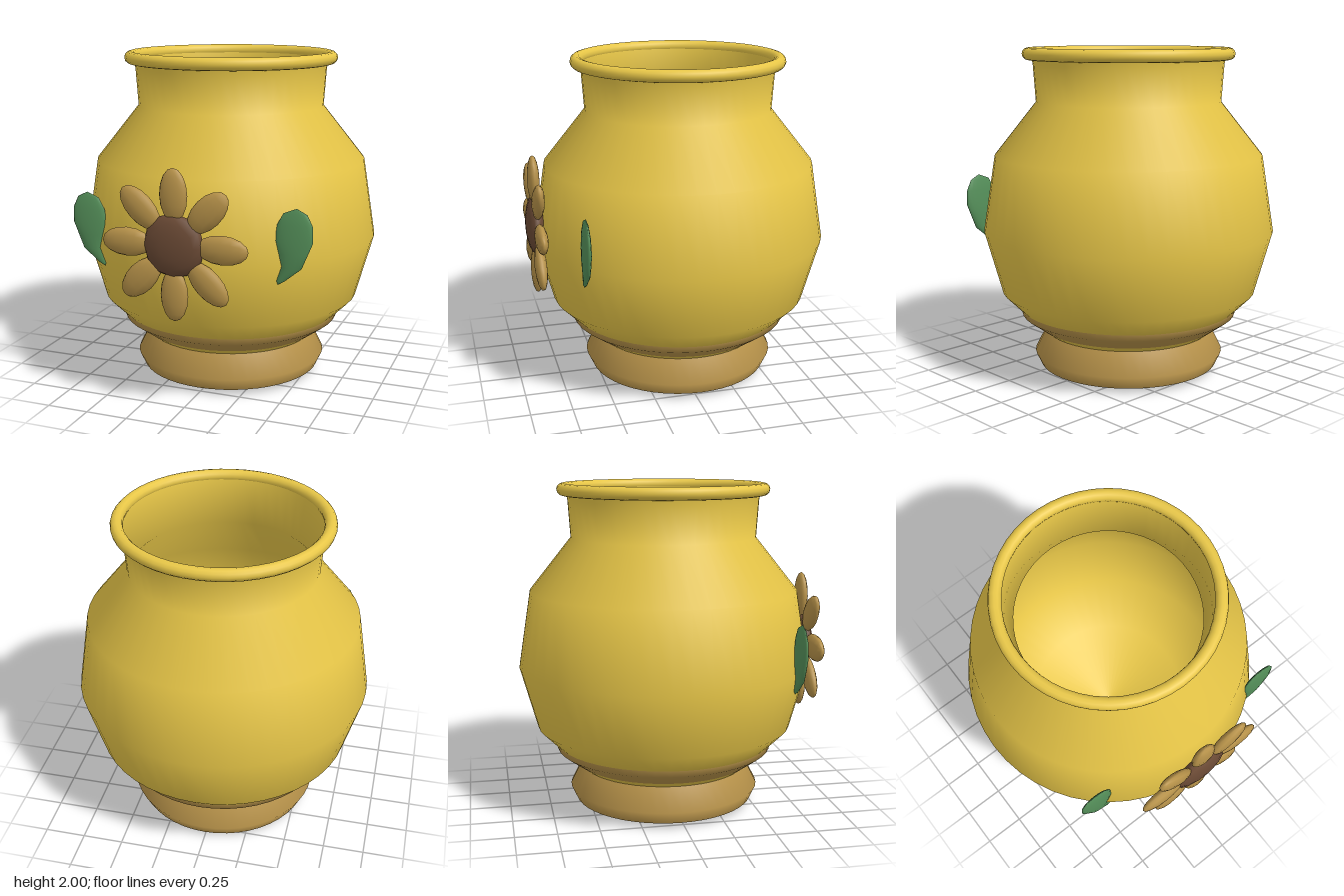
import * as THREE from 'three';

const material = (color) => new THREE.MeshStandardMaterial({ color });
const yellow = material(0xe8c748);
const tan = material(0xb8934a);
const brown = material(0x6b4a35);
const green = material(0x55905a);

function add(parent, name, geometry, mat) {
  const mesh = new THREE.Mesh(geometry, mat);
  mesh.name = name;
  parent.add(mesh);
  return mesh;
}

// Turned part from [radius, height] pairs
function turned(points) {
  return new THREE.LatheGeometry(points.map(([r, y]) => new THREE.Vector2(r, y)), 48);
}

// Thin bent leaf: rows of [inner x, outer x, y] from tip to stalk
function leafGeometry() {
  const rows = [
    [0.635, 0.635, 1.215], [0.56, 0.695, 1.185], [0.525, 0.727, 1.12], [0.513, 0.729, 1.03],
    [0.53, 0.7, 0.96], [0.547, 0.667, 0.88], [0.524, 0.57, 0.8], [0.532, 0.532, 0.778],
  ];
  const around = 16, last = rows.length - 1;
  const geometry = new THREE.SphereGeometry(1, around, last);
  const pos = geometry.attributes.position;
  for (let i = 0; i < pos.count; i++) {
    const row = Math.floor(i / (around + 1));
    const angle = (i % (around + 1)) / around * Math.PI * 2;
    const [inner, outer, y] = rows[row];
    const x = (inner + outer) / 2 - Math.cos(angle) * (outer - inner) / 2;
    pos.setXYZ(i, x, y, Math.sin(angle) * 0.026 * Math.sin(Math.PI * row / last));
  }
  geometry.computeVertexNormals();
  return geometry;
}

export function createModel() {
  const model = new THREE.Group();
  model.name = 'flowerPot';

  // Pot, set slightly back so the flower stays within the depth
  const pot = new THREE.Group();
  pot.name = 'pot';
  pot.position.z = -0.025;
  model.add(pot);

  add(pot, 'underside', turned([[0, 0], [0.555, 0.035]]), yellow);
  add(pot, 'foot', turned([[0.555, 0.035], [0.59, 0.11], [0.52, 0.25]]), tan);
  add(pot, 'groove', turned([[0.52, 0.25], [0.567, 0.285]]), yellow);
  add(pot, 'band', turned([[0.567, 0.285], [0.67, 0.36], [0.68, 0.4]]), tan);
  add(pot, 'body', turned([
    [0.68, 0.4], [0.79, 0.51], [0.895, 0.89], [0.82, 1.355], [0.565, 1.675], [0.58, 1.9], [0.59, 1.95],
  ]), yellow);
  add(pot, 'interior', turned([
    [0.575, 1.95], [0.535, 1.675], [0.785, 1.345], [0.86, 0.89], [0.755, 0.52], [0.5, 0.28], [0, 0.08],
  ]), yellow);

  const rim = add(pot, 'rim', new THREE.TorusGeometry(0.608, 0.037, 12, 48), yellow);
  rim.rotation.x = Math.PI / 2;
  rim.position.y = 1.963;

  // Flower on the front
  const flower = new THREE.Group();
  flower.name = 'flower';
  flower.position.set(0, 1, 0.867);
  model.add(flower);

  const petalShape = new THREE.SphereGeometry(1, 12, 8);
  petalShape.scale(0.083, 0.15, 0.037);
  petalShape.translate(0, 0.282, 0);
  for (let i = 0; i < 8; i++) {
    add(flower, 'petal', petalShape, tan).rotation.z = i * Math.PI / 4;
  }

  const heart = add(flower, 'flowerCentre', new THREE.SphereGeometry(1, 12, 8), brown);
  heart.rotation.x = Math.PI / 2;
  heart.scale.set(0.182, 0.057, 0.182);

  // Pair of mirrored leaves
  const leafShape = leafGeometry();
  for (const [name, turn] of [['leftLeaf', 0], ['rightLeaf', Math.PI]]) {
    const leaf = add(model, name, leafShape, green);
    leaf.rotation.y = turn;
    leaf.position.z = 0.665;
  }
  return model;
}
